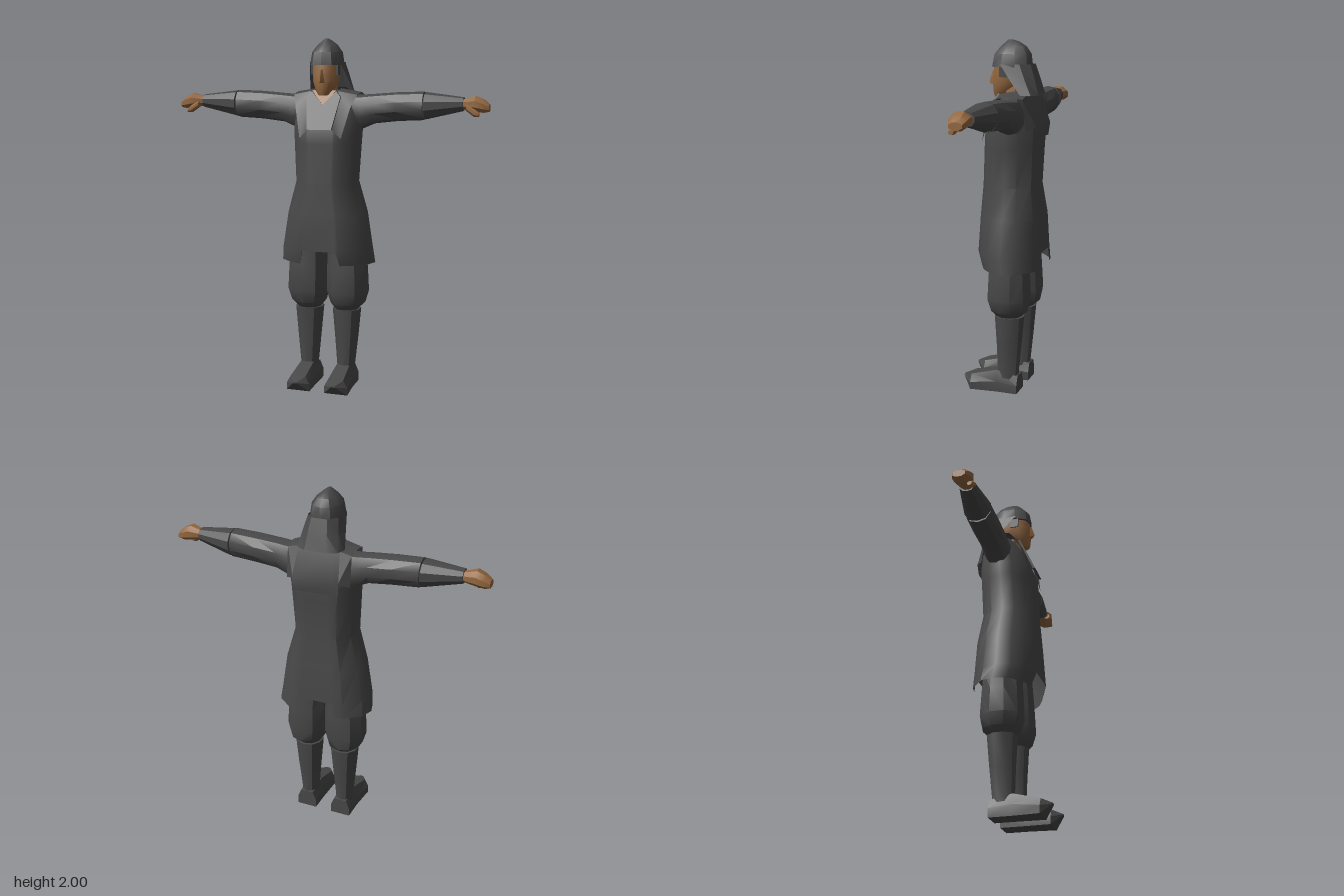
import * as THREE from 'three';
import { toCreasedNormals } from 'three/addons/utils/BufferGeometryUtils.js';

const cloth = new THREE.MeshStandardMaterial({ color: 0x484848, side: THREE.DoubleSide });
cloth.name = 'dark cloth';
const skin = new THREE.MeshStandardMaterial({ color: 0x946840, side: THREE.DoubleSide });
skin.name = 'skin';

// unit cross-section with n sides, flats facing the axes
const round = (n) => Array.from({ length: n }, (_, i) => {
  const t = ((i + 0.5) / n) * Math.PI * 2, r = 1 / Math.cos(Math.PI / n);
  return [Math.max(-1, Math.min(1, Math.cos(t) * r)), Math.max(-1, Math.min(1, Math.sin(t) * r))];
});
const OCT = round(8), TEN = round(10);

// tunic cross-section: flat front and back with extra points for the hem slits
const half = [[0.36, 1], [0.42, 0.99], [0.68, 0.78], [0.92, 0.4], [1, -0.05], [0.92, -0.5], [0.6, -0.95], [0.42, -1], [0.36, -1]];
const TUNIC = [...half].reverse().concat(half.map(([x, z]) => [-x, z]));

// ring of points across an axis: a and b are the min/max extents in the other two directions
function ring(axis, pos, a0, a1, b0, b1, unit = OCT) {
  return unit.map(([u, v]) => {
    const a = (a0 + a1) / 2 + (u * (a1 - a0)) / 2, b = (b0 + b1) / 2 + (v * (b1 - b0)) / 2;
    if (axis === 'y') return [a, pos, b]; // a = x, b = z
    if (axis === 'x') return [pos, b, a]; // a = z, b = y
    return [b, a, pos]; // a = y, b = x
  });
}

function loft(rings, { closed = true, capStart = true, capEnd = true, crease = 0.6 } = {}) {
  const n = rings[0].length, pos = rings.flat(2), idx = [];
  for (let i = 0; i < rings.length - 1; i++) {
    for (let j = 0; j < (closed ? n : n - 1); j++) {
      const k = (j + 1) % n, a = i * n + j, b = i * n + k;
      idx.push(a, a + n, b, a + n, b + n, b);
    }
  }
  const cap = (r, base, flip) => {
    const c = pos.length / 3;
    for (let d = 0; d < 3; d++) pos.push(r.reduce((s, p) => s + p[d], 0) / n);
    for (let j = 0; j < n; j++) {
      const k = (j + 1) % n;
      if (flip) idx.push(c, base + j, base + k);
      else idx.push(c, base + k, base + j);
    }
  };
  if (closed && capStart) cap(rings[0], 0, true);
  if (closed && capEnd) cap(rings[rings.length - 1], (rings.length - 1) * n, false);
  const g = new THREE.BufferGeometry();
  g.setAttribute('position', new THREE.Float32BufferAttribute(pos, 3));
  g.setIndex(idx);
  g.computeVertexNormals();
  return toCreasedNormals(g, crease);
}

// thin plate lying on the sloping chest
function chestPlate(points, lift, depth) {
  const g = new THREE.ExtrudeGeometry(new THREE.Shape(points.map((p) => new THREE.Vector2(...p))), { depth, bevelEnabled: false });
  const p = g.attributes.position;
  for (let i = 0; i < p.count; i++) p.setZ(i, p.getZ(i) + 0.1 - (p.getY(i) - 1.5) * 0.45 + lift);
  g.computeVertexNormals();
  return g;
}

export function createModel() {
  const model = new THREE.Group();
  model.name = 'figure';
  const add = (name, geo, mat = cloth, parent = model) => {
    const m = new THREE.Mesh(geo, mat);
    m.name = name;
    parent.add(m);
    return m;
  };
  const pair = (name, build) => {
    for (const s of [1, -1]) {
      const g = new THREE.Group();
      g.name = (s > 0 ? 'left' : 'right') + name;
      g.scale.x = s;
      build(g);
      model.add(g);
    }
  };

  // tunic with slits at the front and back of the hem: [y, half width, back z, front z]
  const body = [
    [0.735, 0.28, -0.22, 0.11], [0.82, 0.268, -0.215, 0.135], [1.02, 0.235, -0.208, 0.125],
    [1.2, 0.182, -0.185, 0.115], [1.42, 0.195, -0.195, 0.105], [1.5, 0.2, -0.2, 0.1],
    [1.6, 0.195, -0.19, 0.058], [1.69, 0.175, -0.15, 0.005], [1.715, 0.09, -0.12, -0.02],
  ].map(([y, w, b, f]) => ring('y', y, -w, w, b, f, TUNIC));
  body[0].forEach((p, i) => { if (Math.abs(TUNIC[i][0]) < 0.4) { p[1] = 0.815; p[2] = body[1][i][2]; } });
  add('tunic', loft(body, { capStart: false }));

  // collar pieces
  add('neckOpening', chestPlate([[-0.07, 1.715], [0, 1.625], [0.07, 1.715]], 0.012, 0.008), skin);
  add('frontCollar', chestPlate([[-0.07, 1.5], [0.07, 1.5], [0.1, 1.68], [0.07, 1.71], [0, 1.635], [-0.07, 1.71], [-0.1, 1.68]], 0.008, 0.016));
  add('backCollar', loft([
    [[-0.13, 1.47, -0.203], [0.13, 1.47, -0.203]], [[-0.135, 1.54, -0.212], [0.135, 1.54, -0.212]],
    [[-0.12, 1.7, -0.155], [0.12, 1.7, -0.155]], [[-0.09, 1.73, -0.1], [0.09, 1.73, -0.1]],
  ], { closed: false }));
  pair('ShoulderStrap', (g) => add('shoulderStrap', loft([
    [[0.07, 1.5, 0.11], [0.12, 1.45, 0.105]], [[0.085, 1.62, 0.06], [0.16, 1.62, 0.055]],
    [[0.08, 1.71, 0.015], [0.185, 1.69, 0]], [[0.07, 1.725, -0.07], [0.19, 1.705, -0.07]],
    [[0.09, 1.71, -0.15], [0.185, 1.69, -0.15]], [[0.13, 1.54, -0.212], [0.185, 1.52, -0.17]],
  ], { closed: false }), cloth, g));

  // sleeves and hands
  pair('Arm', (g) => {
    const tube = (name, rows, mat, unit) => add(name, loft(rows.map((r) => ring('x', ...r, unit))), mat, g);
    tube('upperSleeve', [
      [0.12, -0.15, 0.0, 1.48, 1.69], [0.2, -0.15, 0.0, 1.5, 1.69], [0.27, -0.148, 0.0, 1.53, 1.695],
      [0.4, -0.152, 0.0, 1.545, 1.705], [0.55, -0.145, 0.0, 1.553, 1.71],
    ], cloth, TEN);
    tube('lowerSleeve', [[0.55, -0.135, -0.01, 1.575, 1.69], [0.558, -0.148, 0.003, 1.557, 1.708], [0.77, -0.105, -0.02, 1.607, 1.682]], cloth, TEN);
    tube('hand', [
      [0.755, -0.09, -0.03, 1.62, 1.67], [0.79, -0.1, -0.02, 1.613, 1.675],
      [0.835, -0.11, -0.005, 1.605, 1.688], [0.88, -0.108, -0.012, 1.6, 1.67], [0.91, -0.095, -0.025, 1.605, 1.645],
    ], skin);
    tube('thumb', [[0.79, -0.045, -0.005, 1.61, 1.645], [0.835, -0.04, 0.0, 1.578, 1.62], [0.86, -0.03, -0.005, 1.578, 1.6]], skin);
  });

  // breeches, boots and shoes
  pair('Leg', (g) => {
    const up = (name, rows) => add(name, loft(rows.map((r) => ring('y', ...r, TEN))), cloth, g);
    up('breeches', [
      [0.45, 0.05, 0.175, -0.12, 0.015], [0.49, 0.022, 0.215, -0.165, 0.05], [0.56, 0.003, 0.235, -0.18, 0.07],
      [0.7, 0.004, 0.228, -0.172, 0.063], [0.82, 0.008, 0.215, -0.165, 0.055], [0.95, 0.005, 0.19, -0.16, 0.05],
    ]);
    up('bootShaft', [[0.05, 0.062, 0.162, -0.113, 0.015], [0.11, 0.064, 0.16, -0.11, 0.015], [0.28, 0.05, 0.177, -0.127, 0.02], [0.455, 0.035, 0.192, -0.142, 0.03]]);
    // foot sections run from heel to toe
    const foot = [[-0.115, 0.1, 0.05, 0.17], [0.012, 0.125, 0.05, 0.17], [0.165, 0.085, 0.045, 0.182], [0.22, 0.066, 0.1, 0.128]]
      .map(([z, h, a, b], i) => {
        const y = i === 3 ? 0.058 : 0, c = (b - a) * 0.18;
        return [[a + c, h, z], [b - c, h, z], [b, (h + y) / 2, z], [b, y, z], [a, y, z], [a, (h + y) / 2, z]];
      });
    add('foot', loft(foot, { crease: 0.4 }), cloth, g);
  });

  // head
  add('head', loft([
    [1.688, -0.025, 0.025, 0.015, 0.07], [1.715, -0.048, 0.048, -0.05, 0.078], [1.76, -0.066, 0.066, -0.1, 0.082],
    [1.81, -0.073, 0.073, -0.125, 0.08], [1.88, -0.075, 0.075, -0.125, 0.07],
  ].map((r) => ring('y', ...r, TEN)), { crease: 0.8 }), skin);
  add('neck', loft([[1.64, -0.06, 0.06, -0.1, 0.02], [1.76, -0.05, 0.05, -0.1, 0.02]].map((r) => ring('y', ...r))), skin);
  add('nose', loft([
    [[0.018, 1.755, 0.075], [0, 1.76, 0.1], [-0.018, 1.755, 0.075]],
    [[0.016, 1.775, 0.078], [0, 1.775, 0.103], [-0.016, 1.775, 0.078]],
    [[0.008, 1.83, 0.076], [0, 1.83, 0.084], [-0.008, 1.83, 0.076]],
  ]), skin);
  pair('Sideburn', (g) => {
    const m = add('sideburn', new THREE.BoxGeometry(0.012, 0.06, 0.05), cloth, g);
    m.position.set(0.073, 1.83, -0.005);
  });

  // cap and the cloth hanging behind it
  add('cap', loft([
    [1.855, -0.09, 0.09, -0.152, 0.086], [1.925, -0.079, 0.079, -0.143, 0.072],
    [1.965, -0.052, 0.052, -0.115, 0.035], [1.99, -0.022, 0.022, -0.075, 0.005], [2.0, -0.008, 0.008, -0.045, -0.005],
  ].map((r) => ring('y', ...r, TEN))));
  const flapRow = (y, pts) => [...pts, ...[...pts].reverse().map(([x, z]) => [-x, z])].map(([x, z]) => [x, y, z]);
  add('neckFlap', loft([
    flapRow(1.705, [[0.132, -0.12], [0.118, -0.175], [0.065, -0.203]]),
    flapRow(1.79, [[0.108, -0.05], [0.103, -0.135], [0.055, -0.178]]),
    flapRow(1.87, [[0.088, 0.01], [0.086, -0.1], [0.045, -0.152]]),
  ], { closed: false }));

  return model;
}
